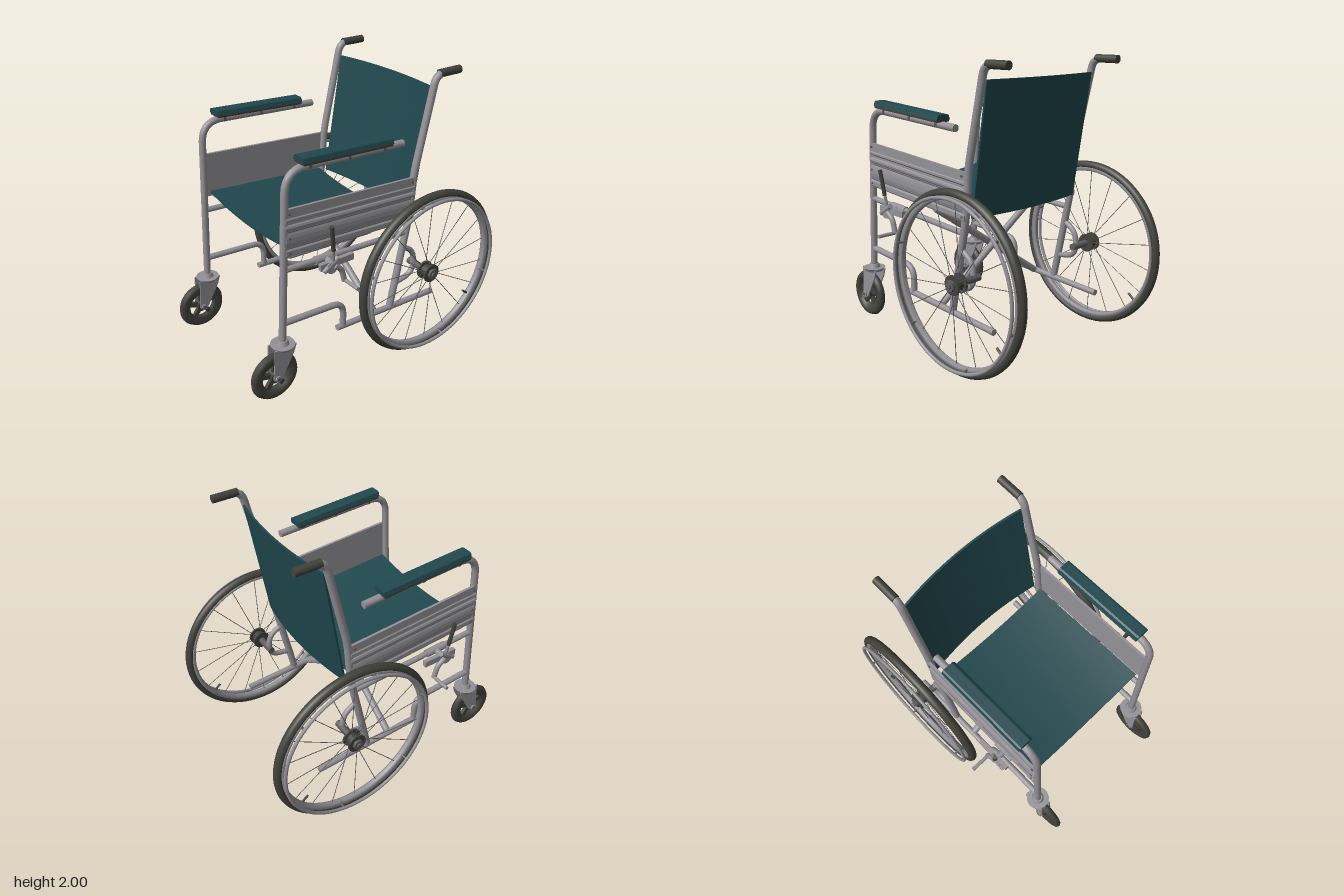
import * as THREE from 'three';
import { mergeGeometries } from 'three/addons/utils/BufferGeometryUtils.js';

const mat = (name, color) => Object.assign(new THREE.MeshStandardMaterial({ color }), { name });
const teal = mat('teal upholstery', 0x20484e);
const metal = mat('grey metal', 0x939196);
const rubber = mat('dark rubber', 0x42423c);
const steel = mat('dark steel', 0x5c5b5e);
const board = mat('brown board', 0x4a3d33);

const V = (x, y, z) => new THREE.Vector3(x, y, z);
const FX = 0.505; // frame plane

function add(parent, name, geo, material, x = 0, y = 0, z = 0) {
  const m = new THREE.Mesh(geo, material);
  m.name = name;
  m.position.set(x, y, z);
  parent.add(m);
  return m;
}

// straight bar between two points
function rod(parent, name, a, b, r, material = metal, sides = 14) {
  const d = b.clone().sub(a);
  const m = add(parent, name, new THREE.CylinderGeometry(r, r, d.length(), sides), material);
  m.position.copy(a).add(b).multiplyScalar(0.5);
  m.quaternion.setFromUnitVectors(V(0, 1, 0), d.normalize());
  return m;
}

// bent tube through [z, y] points in the plane x, with rounded corners and closed ends
function bent(parent, name, x, zy, r, bend, material = metal) {
  const p = zy.map(([z, y]) => V(x, y, z));
  const path = new THREE.CurvePath();
  let from = p[0];
  for (let i = 1; i < p.length - 1; i++) {
    const k = Math.min(bend, p[i].distanceTo(p[i - 1]) * 0.49, p[i].distanceTo(p[i + 1]) * 0.49);
    const a = p[i].clone().add(p[i - 1].clone().sub(p[i]).setLength(k));
    const b = p[i].clone().add(p[i + 1].clone().sub(p[i]).setLength(k));
    path.add(new THREE.LineCurve3(from, a));
    path.add(new THREE.QuadraticBezierCurve3(a, p[i], b));
    from = b;
  }
  path.add(new THREE.LineCurve3(from, p[p.length - 1]));
  const cap = (at, dir) => new THREE.CircleGeometry(r, 14)
    .applyQuaternion(new THREE.Quaternion().setFromUnitVectors(V(0, 0, 1), dir)).translate(at.x, at.y, at.z);
  const geo = mergeGeometries([new THREE.TubeGeometry(path, 64, r, 14),
    cap(p[0], path.getTangent(0).negate()), cap(p[p.length - 1], path.getTangent(1))]);
  return add(parent, name, geo, material);
}

// closed ring turned about the x axis from [radius, x] points
function ring(parent, name, pts, material, x, y, z, seg = 80) {
  const prof = pts.concat([pts[0]]).map(([r, h]) => new THREE.Vector2(r, h));
  return add(parent, name, new THREE.LatheGeometry(prof, seg).rotateZ(-Math.PI / 2), material, x, y, z);
}

// profile in x, y extruded along z and tilted down towards the back
function slab(parent, name, pts, z0, z1, slope, material) {
  const geo = new THREE.ExtrudeGeometry(new THREE.Shape(pts.map(([x, y]) => new THREE.Vector2(x, y))),
    { depth: z1 - z0, bevelEnabled: false }).translate(0, 0, z0);
  const p = geo.attributes.position;
  for (let i = 0; i < p.count; i++) p.setY(i, p.getY(i) + slope * (p.getZ(i) - z1));
  geo.computeVertexNormals();
  return add(parent, name, geo, material);
}

function bendBox(w, h, d, nx, ny, nz, rule) {
  const geo = new THREE.BoxGeometry(w, h, d, nx, ny, nz);
  const p = geo.attributes.position, v = V(0, 0, 0);
  for (let i = 0; i < p.count; i++) {
    rule(v.fromBufferAttribute(p, i));
    p.setXYZ(i, v.x, v.y, v.z);
  }
  geo.computeVertexNormals();
  return geo;
}

function frame(g) {
  bent(g, 'frontPostAndArm', FX, [[0.74, 0.42], [0.685, 1.61], [-0.22, 1.565]], 0.025, 0.15);
  bent(g, 'backPost', FX, [[-0.17, 0.34], [-0.31, 1.0], [-0.335, 1.32], [-0.485, 1.972], [-0.62, 1.972]], 0.026, 0.07);
  rod(g, 'pushGrip', V(FX, 1.972, -0.51), V(FX, 1.972, -0.69), 0.0275, rubber, 20);
  rod(g, 'middleRail', V(FX, 0.95, 0.7), V(FX, 0.895, -0.29), 0.02);
  bent(g, 'frontBrace', FX, [[0.73, 0.565], [0.25, 0.535], [0.25, 0.34]], 0.022, 0.1);
  rod(g, 'bottomRail', V(FX, 0.345, 0.3), V(FX, 0.305, -0.57), 0.022);
  rod(g, 'seatRail', V(0.475, 1.064, 0.65), V(0.475, 0.995, -0.28), 0.018);
  bent(g, 'axleBracket', FX, [[-0.25, 0.79], [-0.37, 0.72], [-0.38, 0.54], [-0.2, 0.51]], 0.02, 0.09);
  rod(g, 'axleTube', V(0.46, 0.615, -0.38), V(0.63, 0.615, -0.38), 0.025, steel);

  // ribbed side panel
  slab(g, 'sidePanel', [[0.51, 1.05], [0.51, 1.37], [0.528, 1.37], [0.528, 1.31], [0.534, 1.303], [0.534, 1.29],
    [0.525, 1.28], [0.525, 1.265], [0.532, 1.258], [0.536, 1.245], [0.532, 1.232], [0.525, 1.222], [0.525, 1.21],
    [0.53, 1.195], [0.533, 1.175], [0.533, 1.145], [0.53, 1.125], [0.525, 1.11], [0.525, 1.1], [0.533, 1.09],
    [0.533, 1.06], [0.528, 1.05]], -0.325, 0.705, 0.065, metal);
  for (const y of [1.217, 1.107])
    slab(g, 'panelSeam', [[0.524, y - 0.004], [0.524, y], [0.529, y], [0.529, y - 0.004]], -0.3, 0.69, 0.065, steel);
  for (const z of [0.68, -0.3]) for (const y of [1.34, 1.175, 1.075]) {
    const h = y + 0.065 * (z - 0.705);
    rod(g, 'rivet', V(0.52, h, z), V(0.537, h, z), 0.008, steel, 10);
  }

  // armrest
  slab(g, 'armPad', [[0.449, 1.642], [0.46, 1.672], [0.472, 1.678], [0.538, 1.678], [0.55, 1.672], [0.56, 1.642]],
    -0.1, 0.59, 0.055, teal);
  slab(g, 'armPadBase', [[0.452, 1.628], [0.452, 1.642], [0.557, 1.642], [0.557, 1.628]], -0.095, 0.585, 0.055, board);
  for (const z of [0.52, 0.23, -0.05])
    add(g, 'armClip', new THREE.BoxGeometry(0.056, 0.06, 0.02), steel, FX, 1.595 + z * 0.045, z);
}

function mainWheel(g) {
  const X = 0.657, Y = 0.615, Z = -0.38;
  const at = (r, a, x) => V(x, Y + r * Math.sin(a), Z + r * Math.cos(a));
  ring(g, 'tyre', [[0.565, -0.022], [0.572, -0.03], [0.585, -0.033], [0.6, -0.025], [0.608, -0.013], [0.611, 0],
    [0.608, 0.013], [0.6, 0.025], [0.585, 0.033], [0.572, 0.03], [0.565, 0.022]], rubber, X, Y, Z);
  ring(g, 'rim', [[0.538, -0.012], [0.545, -0.022], [0.572, -0.026], [0.572, 0.026], [0.545, 0.022], [0.538, 0.012]],
    metal, X, Y, Z);
  add(g, 'handRim', new THREE.TorusGeometry(0.56, 0.012, 10, 80).rotateY(Math.PI / 2), metal, 0.718, Y, Z);
  for (let i = 0; i < 18; i++) {
    const a = (i + 0.5) * Math.PI / 9;
    rod(g, 'spoke', at(0.035, a, X + (i % 2 ? 0.03 : -0.03)), at(0.545, a, X), 0.0025, steel, 6);
  }
  for (let i = 0; i < 6; i++) {
    const a = i * Math.PI / 3 + 0.3;
    rod(g, 'handRimClip', at(0.545, a, X), at(0.558, a, 0.716), 0.009, steel, 8);
  }
  rod(g, 'valve', at(0.545, -2.46, X), at(0.48, -2.46, X), 0.008, rubber, 8);
  rod(g, 'hub', V(0.615, Y, Z), V(0.69, Y, Z), 0.045, rubber, 24);
  for (const x of [0.62, 0.685]) rod(g, 'hubFlange', V(x - 0.007, Y, Z), V(x + 0.007, Y, Z), 0.066, rubber, 24);
  rod(g, 'hubNut', V(0.69, Y, Z), V(0.71, Y, Z), 0.04, steel, 6);
  rod(g, 'axleEnd', V(0.71, Y, Z), V(0.72, Y, Z), 0.018, steel, 12);
}

function caster(g) {
  const Y = 0.19, Z = 0.81;
  ring(g, 'casterTyre', [[0.1, -0.02], [0.145, -0.028], [0.166, -0.02], [0.175, 0], [0.166, 0.02], [0.145, 0.028],
    [0.1, 0.02]], rubber, FX, Y, Z, 40);
  rod(g, 'casterHub', V(FX - 0.03, Y, Z), V(FX + 0.03, Y, Z), 0.042, rubber, 20);
  for (let i = 0; i < 5; i++) {
    const geo = new THREE.BoxGeometry(0.026, 0.1, 0.034).translate(0, 0.06, 0).rotateX(i * Math.PI * 0.4);
    add(g, 'casterSpoke', geo, rubber, FX, Y, Z);
  }
  rod(g, 'casterAxle', V(FX - 0.058, Y, Z), V(FX + 0.058, Y, Z), 0.013, steel);
  // fork cheeks, drawn in z, y
  const cheek = new THREE.Shape([[0.66, 0.41], [0.68, 0.35], [0.775, 0.18], [0.81, 0.16], [0.84, 0.185], [0.83, 0.3],
    [0.825, 0.41]].map(([z, y]) => new THREE.Vector2(z, y)));
  for (const s of [-1, 1]) {
    const geo = new THREE.ExtrudeGeometry(cheek, { depth: 0.01, bevelEnabled: false }).rotateY(-Math.PI / 2);
    add(g, 'forkCheek', geo, metal, FX + s * 0.04 + 0.005, 0, 0);
    rod(g, 'casterNut', V(FX + s * 0.044, Y, Z), V(FX + s * 0.056, Y, Z), 0.024, metal, 6);
  }
  add(g, 'forkCrown', new THREE.CylinderGeometry(0.082, 0.07, 0.022, 28), metal, FX, 0.403, 0.74);
  add(g, 'forkCollar', new THREE.CylinderGeometry(0.034, 0.045, 0.03, 20), metal, FX, 0.427, 0.74);
}

function brake(g) {
  rod(g, 'brakeClamp', V(FX, 0.938, 0.48), V(FX, 0.929, 0.32), 0.028);
  add(g, 'brakePlate', new THREE.BoxGeometry(0.03, 0.045, 0.26), metal, 0.585, 0.932, 0.37);
  rod(g, 'brakeMount', V(FX, 0.93, 0.4), V(0.6, 0.93, 0.4), 0.022);
  rod(g, 'brakePivot', V(0.57, 0.915, 0.42), V(0.612, 0.915, 0.42), 0.042, metal, 20);
  rod(g, 'brakeLink', V(0.6, 0.9, 0.48), V(0.6, 0.97, 0.37), 0.018);
  bent(g, 'brakeArm', 0.605, [[0.4, 0.92], [0.345, 0.88], [0.32, 0.785]], 0.019, 0.06);
  rod(g, 'brakeShoe', V(0.6, 0.79, 0.32), V(0.745, 0.79, 0.32), 0.013);
  rod(g, 'brakeLever', V(0.6, 0.93, 0.405), V(0.615, 1.06, 0.42), 0.011);
  rod(g, 'brakeHandle', V(0.615, 1.04, 0.415), V(0.63, 1.22, 0.44), 0.014, rubber);
}

// mirrored copy with the corner order turned round
function mirrored(source, name) {
  const out = new THREE.Group();
  out.name = name;
  for (const m of source.children) {
    m.updateMatrix();
    const geo = (m.geometry.index ? m.geometry.toNonIndexed() : m.geometry.clone()).applyMatrix4(m.matrix);
    for (const key of ['position', 'normal']) {
      const a = geo.attributes[key];
      for (let i = 0; i < a.count; i += 3) {
        const c = [0, 1, 2].map(k => [-a.getX(i + k), a.getY(i + k), a.getZ(i + k)]);
        [c[0], c[2], c[1]].forEach((q, k) => a.setXYZ(i + k, ...q));
      }
    }
    geo.clearGroups();
    add(out, m.name, geo, m.material);
  }
  return out;
}

export function createModel() {
  const model = new THREE.Group();
  model.name = 'wheelchair';
  for (const [name, build] of Object.entries({ Frame: frame, MainWheel: mainWheel, Caster: caster, Brake: brake })) {
    const left = new THREE.Group();
    left.name = 'left' + name;
    build(left);
    model.add(left, mirrored(left, 'right' + name));
  }
  // sagging seat and back upholstery
  add(model, 'seat', bendBox(0.98, 0.015, 0.945, 20, 1, 8, v => {
    v.z += 0.193;
    v.y += 1.088 - 0.045 * (1 - (v.x / 0.49) ** 2) + 0.074 * (v.z - 0.665);
  }), teal);
  add(model, 'backrest', bendBox(0.97, 0.88, 0.014, 20, 8, 1, v => {
    v.z += -0.342 - 0.14 * (v.y / 0.88 + 0.5) - 0.046 * (1 - (v.x / 0.485) ** 2);
    v.y += 1.44;
  }), teal);
  // folding cross brace
  for (const [s, z] of [[1, 0.02], [-1, -0.035]])
    rod(model, 'crossBrace', V(s * 0.485, 1.0, z), V(-s * 0.485, 0.34, z), 0.025);
  rod(model, 'crossPivot', V(0, 0.67, 0.048), V(0, 0.67, -0.063), 0.016, steel);
  return model;
}
